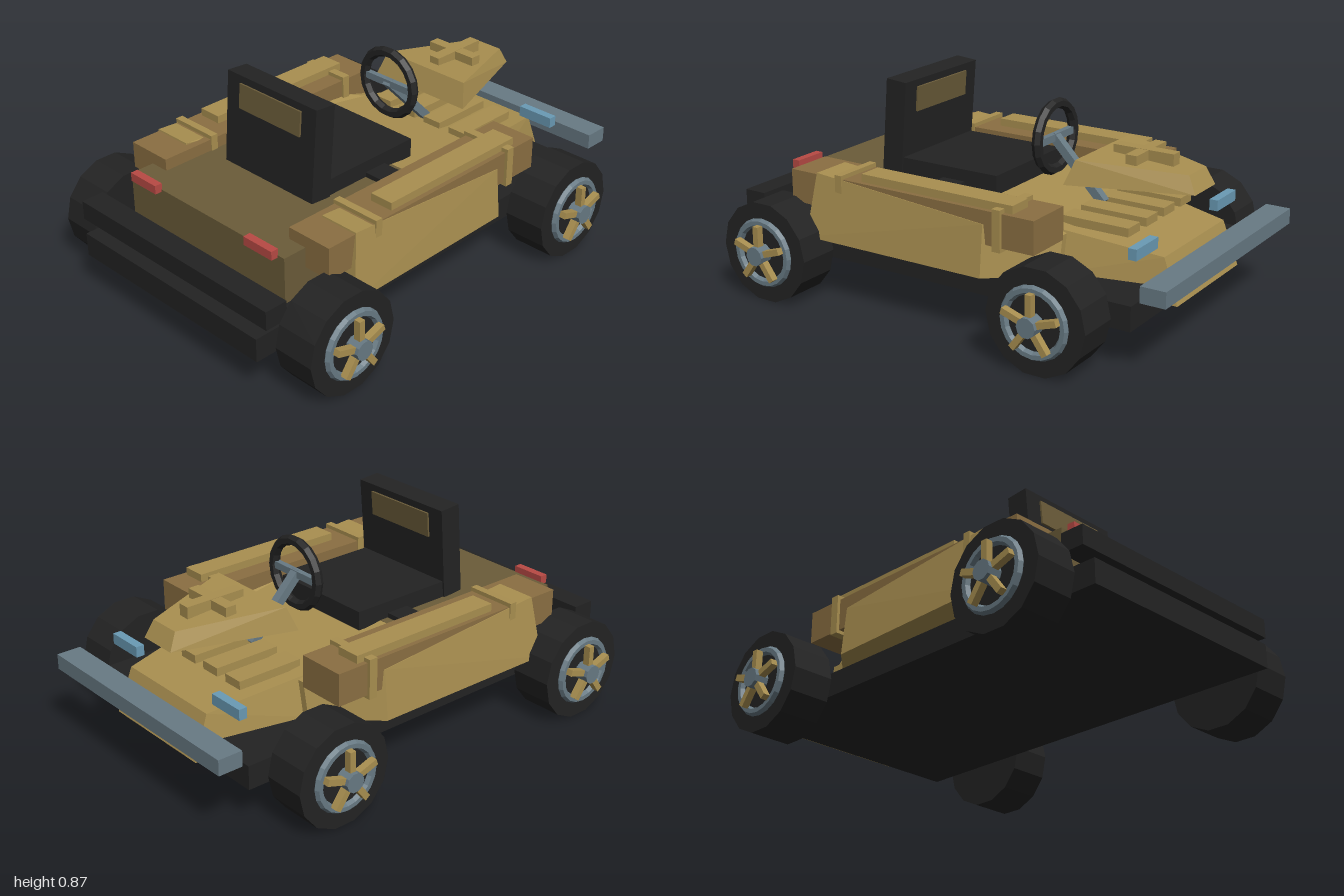
import * as THREE from 'three';
import { ConvexGeometry } from 'three/addons/geometries/ConvexGeometry.js';

const mat = (name, color) => {
  const m = new THREE.MeshStandardMaterial({ color, flatShading: true });
  m.name = name;
  return m;
};

export function createModel() {
  const tan = mat('tan', 0xa98f50);
  const brown = mat('brown', 0x8b6f42);
  const olive = mat('olive', 0x6b5c39);
  const black = mat('black', 0x232323);
  const steel = mat('steel', 0x687a84);
  const blue = mat('lampBlue', 0x6a9bb5);
  const red = mat('lampRed', 0xb84a44);

  const car = new THREE.Group();
  car.name = 'buggy';

  const add = (name, geo, material, parent = car) => {
    const m = new THREE.Mesh(geo, material);
    m.name = name;
    parent.add(m);
    return m;
  };
  // box given by its limits on each axis
  const box = (name, material, [x0, x1], [y0, y1], [z0, z1], parent = car) => {
    const m = add(name, new THREE.BoxGeometry(x1 - x0, y1 - y0, z1 - z0), material, parent);
    m.position.set((x0 + x1) / 2, (y0 + y1) / 2, (z0 + z1) / 2);
    return m;
  };
  // box mirrored to both sides of the car
  const pair = (name, material, [x0, x1], y, z) => {
    box(name + 'Left', material, [x0, x1], y, z);
    box(name + 'Right', material, [-x1, -x0], y, z);
  };
  const hull = (name, material, pts) =>
    add(name, new ConvexGeometry(pts.map((p) => new THREE.Vector3(...p))), material);
  const bothX = (pts) => pts.flatMap(([x, y, z]) => [[x, y, z], [-x, y, z]]);

  // chassis
  box('floor', black, [-0.5, 0.5], [0.16, 0.26], [-0.84, 1]);
  box('rearBumper', black, [-0.535, 0.535], [0.305, 0.385], [0.88, 0.98]);
  box('frontBumper', steel, [-0.54, 0.54], [0.3, 0.365], [-1, -0.895]);
  box('rearDeck', olive, [-0.44, 0.44], [0.285, 0.48], [0.03, 0.8]);
  box('seatBeam', black, [-0.36, 0.36], [0.44, 0.5], [0.07, 0.175]);

  // tapering nose
  hull('nose', tan, bothX([
    [0.38, 0.479, 0.03], [0.42, 0.265, 0.03],
    [0.325, 0.425, -0.42], [0.36, 0.25, -0.42],
    [0.25, 0.37, -0.84], [0.26, 0.19, -0.905],
  ]));

  // sloping side panels
  for (const s of [1, -1]) {
    hull('sidePanel' + (s > 0 ? 'Left' : 'Right'), tan, [
      [0.39, 0.27, 0.6], [0.6, 0.27, 0.6], [0.39, 0.537, 0.56], [0.565, 0.537, 0.56],
      [0.39, 0.265, -0.24], [0.585, 0.265, -0.24], [0.39, 0.475, -0.24], [0.565, 0.475, -0.24],
      [0.3, 0.26, -0.46], [0.38, 0.26, -0.46], [0.3, 0.41, -0.46], [0.35, 0.41, -0.46],
    ].map(([x, y, z]) => [s * x, y, z]));
  }

  // side pods, lids and straps
  pair('sidePod', brown, [0.355, 0.562], [0.395, 0.53], [-0.465, 0.695]);
  pair('podLid', tan, [0.438, 0.542], [0.53, 0.563], [-0.36, 0.35]);
  pair('rearStrap', tan, [0.35, 0.572], [0.4, 0.547], [0.43, 0.462]);
  pair('frontStrap', tan, [0.347, 0.575], [0.38, 0.547], [-0.325, -0.288]);

  // nose louvres
  for (let i = 0; i < 4; i++) {
    const x = -0.213 + i * 0.142;
    box('louvre', tan, [x - 0.045, x + 0.045], [0.42, 0.455], [-0.69, -0.4]);
  }

  // raised cowl with a cross plate
  hull('cowl', tan, bothX([
    [0.245, 0.57, -0.395], [0.085, 0.57, -0.875],
    [0.215, 0.668, -0.43], [0.07, 0.64, -0.84],
  ]));
  box('crossLong', tan, [-0.025, 0.025], [0.64, 0.695], [-0.75, -0.488]);
  box('crossWide', tan, [-0.12, 0.12], [0.655, 0.694], [-0.642, -0.594]);

  // lamps
  pair('headlight', blue, [0.25, 0.415], [0.4, 0.445], [-0.812, -0.776]);
  pair('tailLight', red, [0.255, 0.405], [0.47, 0.507], [0.797, 0.83]);

  // seat
  box('seatCushion', black, [-0.24, 0.24], [0.47, 0.55], [-0.085, 0.38]);
  const back = new THREE.Group();
  back.name = 'seatBack';
  back.position.set(0, 0.677, 0.412);
  back.rotation.x = -0.08;
  car.add(back);
  box('backrest', black, [-0.247, 0.247], [-0.195, 0.195], [-0.048, 0.048], back);
  box('backPanel', olive, [-0.17, 0.17], [0.06, 0.165], [-0.056, 0.056], back);

  // steering wheel and column
  const ring = add('steeringWheel', new THREE.TorusGeometry(0.136, 0.022, 6, 18), black);
  ring.position.set(0, 0.675, -0.208);
  box('steeringBar', steel, [-0.125, 0.125], [0.66, 0.69], [-0.22, -0.196]);
  const column = add('steeringColumn', new THREE.BoxGeometry(0.036, 0.036, 0.34), steel);
  column.position.set(0, 0.56, -0.318);
  column.rotation.x = -0.8;

  // wheels, each built pointing along +x
  const alongX = (r, x0, x1, n) =>
    new THREE.CylinderGeometry(r, r, x1 - x0, n).rotateZ(-Math.PI / 2).translate((x0 + x1) / 2, 0, 0);
  for (const [end, z] of [['rear', 0.727], ['front', -0.567]]) {
    for (const s of [1, -1]) {
      const wheel = new THREE.Group();
      wheel.name = end + 'Wheel' + (s > 0 ? 'Left' : 'Right');
      wheel.position.set(0, 0.21, z);
      wheel.rotation.y = s > 0 ? 0 : Math.PI;
      car.add(wheel);
      add('tyre', alongX(0.212, 0.535, 0.715, 14), black, wheel);
      add('axle', alongX(0.025, 0.45, 0.6, 8), steel, wheel);
      add('hub', alongX(0.04, 0.71, 0.776, 10), steel, wheel);
      add('rim', new THREE.TorusGeometry(0.128, 0.018, 6, 20).rotateY(Math.PI / 2), steel, wheel)
        .position.x = 0.718;
      for (let i = 0; i < 5; i++) {
        const spoke = new THREE.BoxGeometry(0.03, 0.095, 0.026).translate(0.746, 0.074, 0);
        add('spoke', spoke.rotateX((i * Math.PI * 2) / 5), tan, wheel);
      }
    }
  }
  return car;
}
